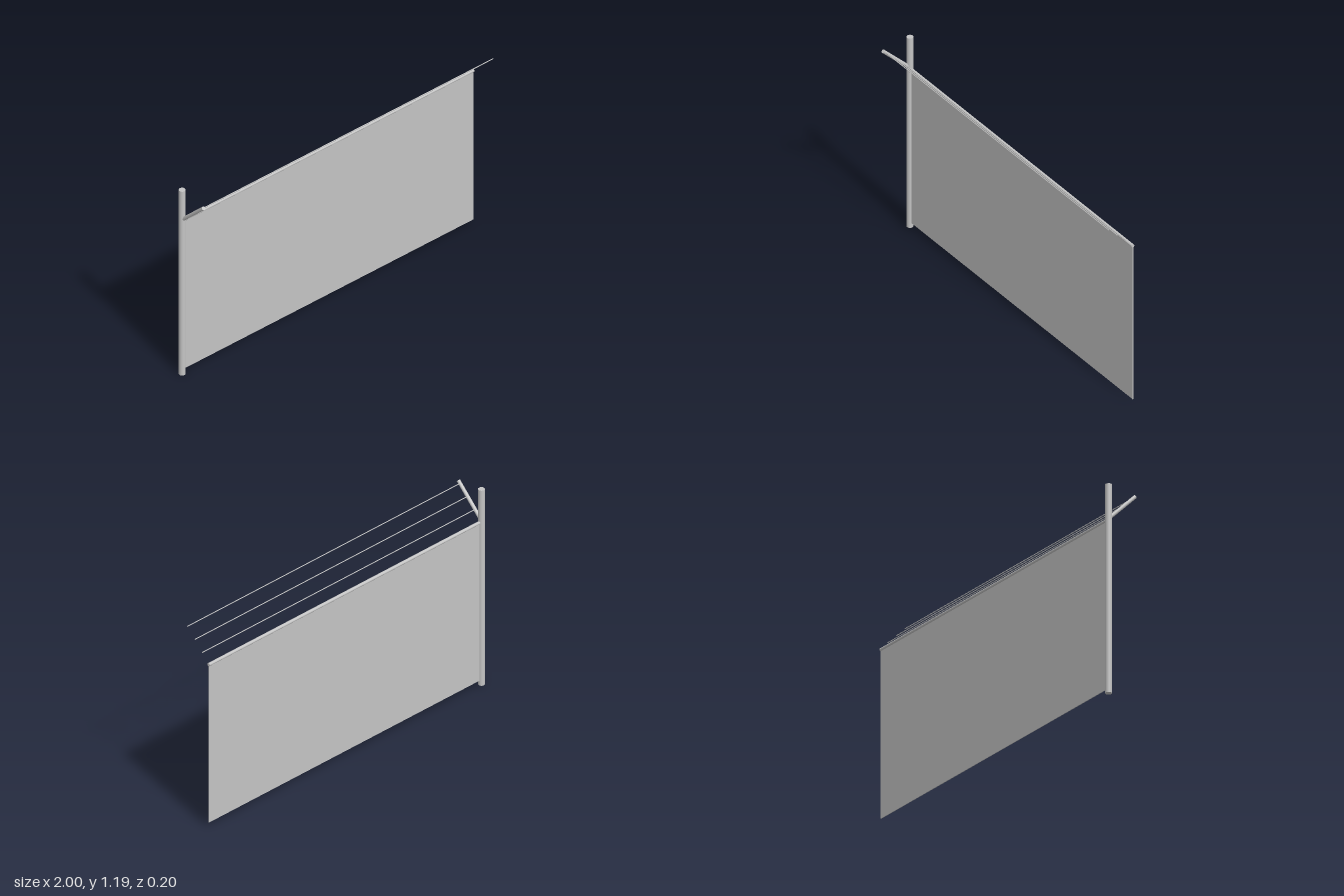
import * as THREE from 'three';

export function createModel() {
  const model = new THREE.Group();
  model.name = 'fenceSection';
  const steel = new THREE.MeshStandardMaterial({ color: 0xc4c4c4 });
  steel.name = 'galvanised steel';

  const POST_X = -0.982, FENCE_Z = -0.08;
  const up = new THREE.Vector3(0, 1, 0);

  // Round bar between two points
  function bar(name, from, to, radius, sides) {
    const a = new THREE.Vector3(...from), b = new THREE.Vector3(...to);
    const dir = b.clone().sub(a);
    const mesh = new THREE.Mesh(new THREE.CylinderGeometry(radius, radius, dir.length(), sides), steel);
    mesh.name = name;
    mesh.position.copy(a).add(b).multiplyScalar(0.5);
    mesh.quaternion.setFromUnitVectors(up, dir.normalize());
    model.add(mesh);
  }

  // Upright post, top rail and the arm leaning forward
  bar('post', [POST_X, 0, FENCE_Z], [POST_X, 1.19, FENCE_Z], 0.018, 32);
  bar('topRail', [POST_X, 0.991, FENCE_Z], [1, 0.991, FENCE_Z], 0.009, 20);
  bar('wireArm', [POST_X, 0.997, FENCE_Z], [POST_X, 1.167, 0.09], 0.01, 20);

  // Three wires strung along the arm
  for (const z of [-0.034, 0.021, 0.076]) {
    bar('wire', [POST_X, z + 1.079, z], [1, z + 1.079, z], 0.0025, 8);
  }

  // Thin mesh panel hung below the rail
  const panel = new THREE.Mesh(new THREE.BoxGeometry(1.982, 0.961, 0.004), steel);
  panel.name = 'fencePanel';
  panel.position.set(0.009, 0.5085, FENCE_Z);
  model.add(panel);

  return model;
}
